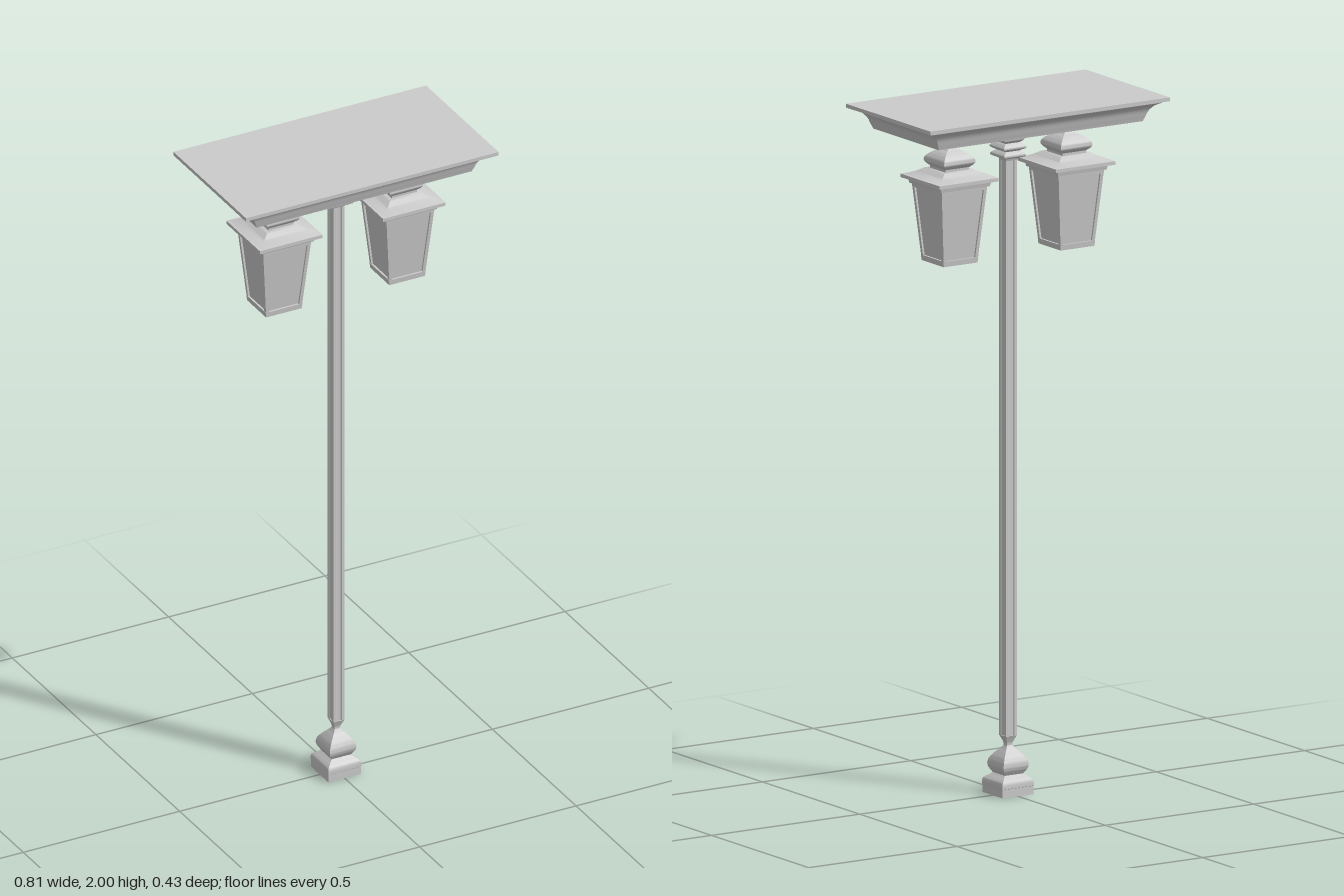
import * as THREE from 'three';
import { toCreasedNormals } from 'three/addons/utils/BufferGeometryUtils.js';

const material = new THREE.MeshStandardMaterial({ color: 0xcccccc });

function add(parent, name, geometry) {
  const mesh = new THREE.Mesh(geometry, material);
  mesh.name = name;
  parent.add(mesh);
  return mesh;
}

// Capped four-sided loft through [halfX, y, halfZ] levels, bottom to top
function squareLoft(levels) {
  const corners = [[1, 1], [1, -1], [-1, -1], [-1, 1]];
  const positions = [], index = [];
  for (const [hx, y, hz = hx] of levels) {
    for (const [sx, sz] of corners) positions.push(sx * hx, y, sz * hz);
  }
  for (let l = 0; l < levels.length - 1; l++) {
    for (let i = 0; i < 4; i++) {
      const a = l * 4 + i, b = l * 4 + (i + 1) % 4;
      index.push(a, b, b + 4, a, b + 4, a + 4);
    }
  }
  const t = (levels.length - 1) * 4;
  index.push(0, 2, 1, 0, 3, 2, t, t + 1, t + 2, t, t + 2, t + 3);
  const geometry = new THREE.BufferGeometry();
  geometry.setAttribute('position', new THREE.Float32BufferAttribute(positions, 3));
  geometry.setIndex(index);
  return toCreasedNormals(geometry, 0.6);
}

// Smooth run of levels through a few [half, y] points
function smooth(points, steps = 20) {
  const curve = new THREE.SplineCurve(points.map(p => new THREE.Vector2(...p)));
  return curve.getPoints(steps).map(p => [p.x, p.y]);
}

// Square post section with a shallow groove down each face
function postGeometry(half, bottom, top) {
  const shape = new THREE.Shape();
  const face = [[half, -half], [half, -0.01], [half - 0.003, -0.007], [half - 0.003, 0.007], [half, 0.01]];
  const points = [];
  for (let i = 0; i < 4; i++) {
    for (const p of face) points.push(new THREE.Vector2(...p).rotateAround(new THREE.Vector2(), i * Math.PI / 2));
  }
  shape.setFromPoints(points);
  return new THREE.ExtrudeGeometry(shape, { depth: top - bottom, bevelEnabled: false })
    .rotateX(-Math.PI / 2).translate(0, bottom, 0);
}

function createLantern() {
  const lantern = new THREE.Group();
  lantern.name = 'lantern';

  // Round hanger under the canopy
  const hanger = [[0, 1.88], [0.006, 1.88], [0.006, 1.912], [0.009, 1.92], [0.018, 1.926], [0.018, 1.932], [0, 1.932]];
  add(lantern, 'hanger', toCreasedNormals(
    new THREE.LatheGeometry(hanger.map(p => new THREE.Vector2(...p)), 16), 0.6));

  // Bulbous finial and flared roof
  add(lantern, 'finial', squareLoft([
    [0.04, 1.82], [0.04, 1.83],
    ...smooth([[0.04, 1.835], [0.052, 1.848], [0.05, 1.862], [0.034, 1.877], [0.015, 1.888], [0.006, 1.905]])
  ]));
  add(lantern, 'roof', squareLoft([
    [0.082, 1.782], [0.085, 1.796], [0.1, 1.797], [0.1, 1.807],
    ...smooth([[0.094, 1.808], [0.07, 1.817], [0.052, 1.828]], 8)
  ]));

  // Tapered glass body set inside its frame
  const top = 1.785, bottom = 1.575, wide = 0.077, narrow = 0.058;
  add(lantern, 'glass', squareLoft([[narrow - 0.006, bottom - 0.005], [wide - 0.006, top]]));
  add(lantern, 'bottomFrame', squareLoft([[0.057, 1.56], [0.0585, 1.576]]));
  add(lantern, 'topFrame', squareLoft([[wide - 0.001, 1.772], [wide, 1.786]]));

  // Four leaning corner bars
  const bar = 0.005;
  for (const sx of [-1, 1]) {
    for (const sz of [-1, 1]) {
      const geometry = new THREE.BoxGeometry(bar * 2, top - bottom, bar * 2);
      const p = geometry.attributes.position;
      for (let i = 0; i < p.count; i++) {
        const offset = (p.getY(i) > 0 ? wide : narrow) - bar;
        p.setX(i, p.getX(i) + sx * offset);
        p.setZ(i, p.getZ(i) + sz * offset);
      }
      geometry.translate(0, (top + bottom) / 2, 0);
      geometry.computeVertexNormals();
      add(lantern, 'cornerBar', geometry);
    }
  }
  return lantern;
}

export function createModel() {
  const model = new THREE.Group();
  model.name = 'streetLamp';

  // Moulded foot
  add(model, 'base', squareLoft([
    [0.052, 0], [0.052, 0.024],
    ...smooth([[0.053, 0.025], [0.051, 0.042], [0.038, 0.053], [0.031, 0.059]], 10),
    ...smooth([[0.033, 0.062], [0.042, 0.08], [0.039, 0.1], [0.025, 0.12], [0.012, 0.135], [0.009, 0.145], [0.018, 0.168]], 24)
  ]));

  add(model, 'post', postGeometry(0.018, 0.167, 1.86));

  // Moulded rings and flared plate at the head of the post
  add(model, 'postHead', squareLoft([
    [0.018, 1.83],
    ...smooth([[0.02, 1.836], [0.035, 1.842], [0.035, 1.85], [0.024, 1.858]], 10),
    ...smooth([[0.026, 1.86], [0.037, 1.866], [0.035, 1.874], [0.024, 1.882]], 10),
    ...smooth([[0.026, 1.884], [0.034, 1.892], [0.033, 1.904], [0.028, 1.912]], 10),
    ...smooth([[0.036, 1.914], [0.048, 1.92], [0.068, 1.927]], 6), [0.068, 1.932]
  ]));

  // Canopy: cove moulding under a thin slab
  const inset = [[0.06, 1.93], [0.058, 1.936],
    ...smooth([[0.054, 1.945], [0.047, 1.962], [0.034, 1.976], [0.018, 1.984]], 10),
    [0.016, 1.988], [0, 1.989], [0, 2]];
  add(model, 'canopy', squareLoft(inset.map(([d, y]) => [0.404 - d, y, 0.217 - d * 0.8])));

  for (const side of [-1, 1]) {
    const lantern = createLantern();
    lantern.position.x = side * 0.197;
    model.add(lantern);
  }
  return model;
}
